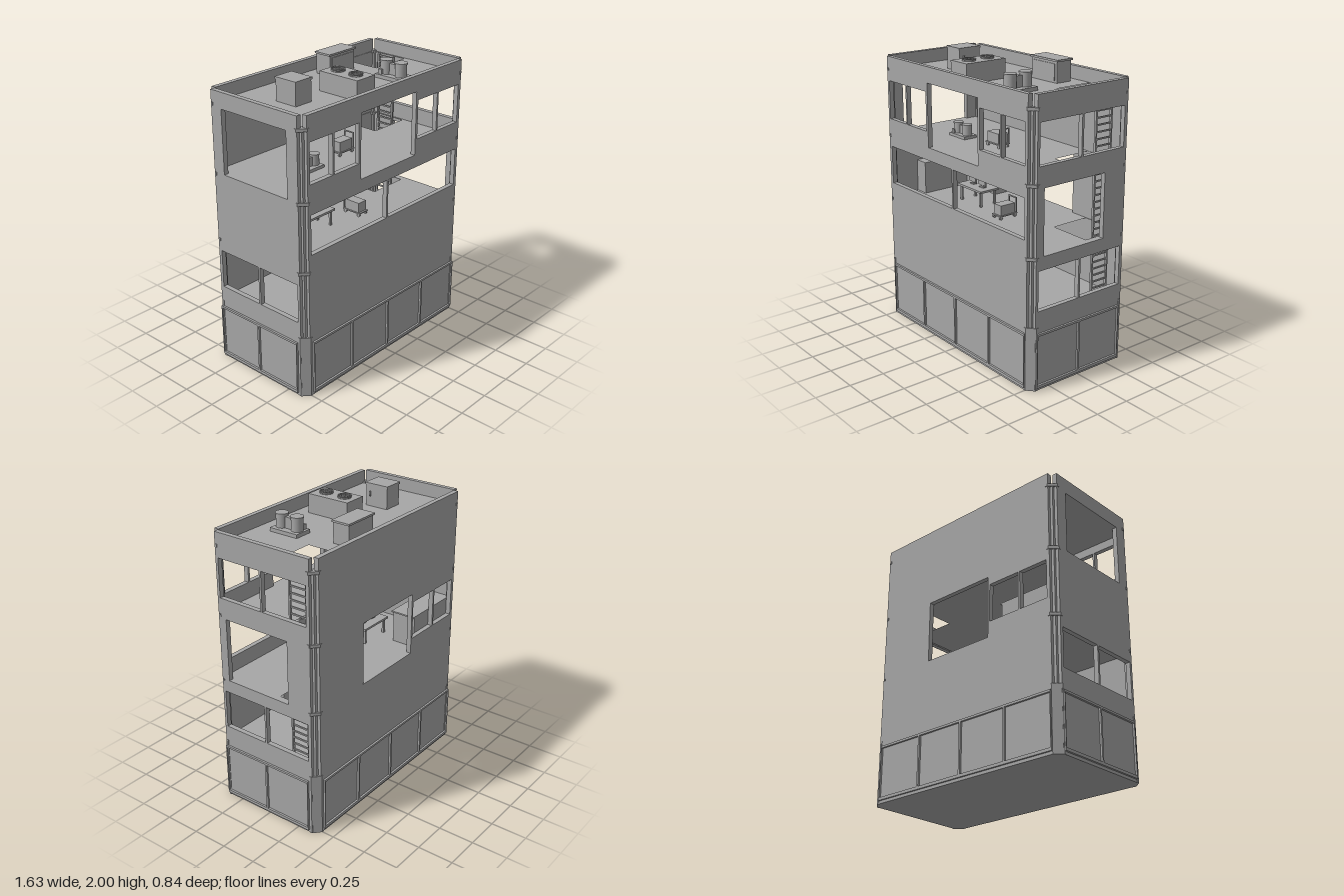
import * as THREE from 'three';

const grey = new THREE.MeshStandardMaterial({ color: 0xa6a6a6 });
grey.name = 'grey';

function add(parent, name, geometry) {
  const m = new THREE.Mesh(geometry, grey);
  m.name = name;
  parent.add(m);
  return m;
}

// Box given by its limits on each axis
function box(parent, name, x0, x1, y0, y1, z0, z1) {
  const g = new THREE.BoxGeometry(x1 - x0, y1 - y0, z1 - z0);
  g.translate((x0 + x1) / 2, (y0 + y1) / 2, (z0 + z1) / 2);
  return add(parent, name, g);
}

function cyl(parent, name, r, y0, y1, x, z, sides = 24) {
  const g = new THREE.CylinderGeometry(r, r, y1 - y0, sides);
  return add(parent, name, g.translate(x, (y0 + y1) / 2, z));
}

function rectPath(Type, x0, x1, y0, y1) {
  const p = new Type();
  p.moveTo(x0, y0).lineTo(x1, y0).lineTo(x1, y1).lineTo(x0, y1).closePath();
  return p;
}

// Upright plate with rectangular holes [x0, x1, y0, y1]
function plate(parent, name, limits, holes, z, depth) {
  const s = rectPath(THREE.Shape, ...limits);
  holes.forEach(h => s.holes.push(rectPath(THREE.Path, ...h)));
  const g = new THREE.ExtrudeGeometry(s, { depth, bevelEnabled: false });
  return add(parent, name, g.translate(0, 0, z));
}

// Horizontal slab or prism from plan points [x, z]
function prism(parent, name, points, y0, y1, holes = []) {
  const path = (Type, pts) => new Type(pts.map(([x, z]) => new THREE.Vector2(x, -z)));
  const s = path(THREE.Shape, points);
  holes.forEach(h => s.holes.push(path(THREE.Path, h)));
  const g = new THREE.ExtrudeGeometry(s, { depth: y1 - y0, bevelEnabled: false });
  return add(parent, name, g.rotateX(-Math.PI / 2).translate(0, y0, 0));
}

// One outer wall with openings and the framed panels at its foot
function wall(parent, name, angle, half, outer, openings, panels, shift) {
  const g = new THREE.Group();
  g.name = name;
  plate(g, name + 'Panel', [-half, half, 0.01, 1.93], openings, outer - 0.034, 0.034);
  const a = -half + 0.015 + shift, b = half - 0.015 + shift, w = (b - a) / panels;
  const holes = [];
  for (let i = 0; i < panels; i++) holes.push([a + i * w + 0.007, a + (i + 1) * w - 0.007, 0.04, 0.385]);
  plate(g, 'baseFrame', [a, b, 0.02, 0.4], holes, outer, 0.014);
  g.rotation.y = angle;
  parent.add(g);
}

function table(parent, x, z, floor, angle) {
  const g = new THREE.Group();
  g.name = 'deskWithScreens';
  box(g, 'deskTop', -0.135, 0.135, 0.105, 0.12, -0.08, 0.08);
  for (const sx of [-1, 1]) {
    for (const sz of [-1, 1]) box(g, 'deskLeg', sx * 0.11 - 0.008, sx * 0.11 + 0.008, 0, 0.105, sz * 0.06 - 0.008, sz * 0.06 + 0.008);
    const c = sx * 0.055;
    box(g, 'screenFoot', c - 0.022, c + 0.022, 0.12, 0.126, -0.015, 0.015);
    box(g, 'screenNeck', c - 0.008, c + 0.008, 0.12, 0.145, -0.005, 0.005);
    box(g, 'screen', c - 0.04, c + 0.04, 0.137, 0.19, 0, 0.01);
  }
  g.position.set(x, floor, z);
  g.rotation.y = angle;
  parent.add(g);
}

function cart(parent, x, z, floor, angle) {
  const g = new THREE.Group();
  g.name = 'cart';
  box(g, 'cartDeck', -0.075, 0.075, 0.022, 0.03, -0.045, 0.045);
  box(g, 'crate', -0.062, 0.058, 0.03, 0.1, -0.038, 0.038);
  for (const sx of [-1, 1]) for (const sz of [-1, 1]) {
    const w = new THREE.CylinderGeometry(0.012, 0.012, 0.012, 12).rotateX(Math.PI / 2);
    add(g, 'wheel', w.translate(sx * 0.06, 0.012, sz * 0.035));
  }
  for (const s of [-1, 1]) box(g, 'handlePost', 0.067, 0.074, 0.03, 0.135, s * 0.038 - 0.004, s * 0.038 + 0.004);
  box(g, 'handleBar', 0.067, 0.074, 0.128, 0.136, -0.042, 0.042);
  g.position.set(x, floor, z);
  g.rotation.y = angle;
  parent.add(g);
}

// Two tanks on a plinth, joined by a bridge
function tanks(parent, x, z, y, angle, s = 1) {
  const g = new THREE.Group();
  g.name = 'twinTanks';
  box(g, 'tankPlinth', -0.065, 0.065, 0, 0.025, -0.11, 0.11);
  for (const c of [-0.062, 0.062]) {
    cyl(g, 'tank', 0.04, 0.025, 0.11, 0, c);
    cyl(g, 'tankLid', 0.044, 0.11, 0.12, 0, c);
  }
  box(g, 'tankBridge', -0.015, 0.015, 0.025, 0.1, -0.05, 0.05);
  box(g, 'controlBox', -0.055, -0.025, 0.025, 0.06, -0.09, -0.06);
  g.position.set(x, y, z);
  g.rotation.y = angle;
  g.scale.setScalar(s);
  parent.add(g);
}

export function createModel() {
  const model = new THREE.Group();
  model.name = 'building';
  const H = Math.PI / 2, low = [0.55, 0.82], mid = [1.02, 1.29], high = [1.49, 1.76];

  // Outer walls
  wall(model, 'frontWall', 0, 0.756, 0.408, [
    [-0.73, -0.015, ...mid], [0, 0.73, ...mid],
    [-0.735, -0.535, ...high], [-0.52, -0.295, ...high], [0.29, 0.495, ...high], [0.51, 0.73, ...high],
    [-0.275, 0.27, 1.38, 1.82]], 4, 0.01);
  wall(model, 'rightWall', H, 0.37, 0.8, [
    [-0.35, -0.015, ...low], [0, 0.345, ...low],
    [-0.35, -0.015, ...high], [0, 0.345, ...high],
    [-0.31, 0.19, 0.91, 1.35]], 2, -0.01);
  wall(model, 'backWall', 2 * H, 0.756, 0.408, [
    [-0.31, 0.235, 0.91, 1.35], [0.25, 0.495, ...mid], [0.51, 0.73, ...mid]], 4, 0.01);
  wall(model, 'leftWall', -H, 0.37, 0.8, [
    [-0.345, 0, ...low], [0.015, 0.35, ...low],
    [-0.28, 0.28, 1.38, 1.82]], 2, -0.01);

  // Corner posts, chamfered feet and clips
  const corner = [[0.737, 0.36], [0.737, 0.412], [0.752, 0.412], [0.804, 0.366], [0.804, 0.35], [0.76, 0.35]];
  for (const sx of [-1, 1]) for (const sz of [-1, 1]) {
    const pts = corner.map(([x, z]) => [x * sx, z * sz]);
    prism(model, 'cornerFoot', pts, 0, 0.44);
    for (const y of [0.89, 1.36, 1.83]) prism(model, 'cornerClip', pts, y, y + 0.02);
    const x = 0.763 * sx, z = 0.373 * sz;
    box(model, 'cornerPost', x - 0.014, x + 0.014, 0.44, 1.85, z - 0.014, z + 0.014);
  }

  // Floors and roof, open where the ladder passes
  const plan = [[-0.8, -0.36], [-0.75, -0.41], [0.75, -0.41], [0.8, -0.36],
    [0.8, 0.36], [0.75, 0.41], [-0.75, 0.41], [-0.8, 0.36]];
  prism(model, 'groundSlab', plan, 0, 0.02);
  const inner = [[-0.768, -0.376], [0.768, -0.376], [0.768, 0.376], [-0.768, 0.376]];
  const hatch = [[0.45, -0.37], [0.752, -0.37], [0.752, -0.085], [0.45, -0.085]];
  prism(model, 'firstFloor', inner, 0.43, 0.45);
  for (const [n, y] of [['secondFloor', 0.91], ['thirdFloor', 1.38], ['roof', 1.84]]) {
    prism(model, n, inner, y - 0.02, y, [hatch]);
  }

  // Ladder
  for (const z of [-0.295, -0.165]) box(model, 'ladderRail', 0.722, 0.738, 0.45, 1.84, z - 0.006, z + 0.006);
  for (let y = 0.49; y < 1.83; y += 0.046) box(model, 'ladderRung', 0.725, 0.735, y, y + 0.01, -0.295, -0.165);

  // Furniture and goods
  table(model, -0.3, 0.04, 0.44, H);
  box(model, 'cabinet', -0.3, 0.3, 0.45, 0.66, 0.285, 0.37);
  box(model, 'cabinetTop', -0.305, 0.305, 0.66, 0.67, 0.28, 0.37);
  table(model, -0.28, -0.01, 0.91, 0);
  box(model, 'sideCounter', -0.766, -0.665, 0.91, 1.14, -0.373, 0.175);
  box(model, 'backCounter', -0.665, -0.325, 0.91, 1.13, -0.373, -0.2);
  box(model, 'counterTop', -0.665, -0.315, 1.13, 1.14, -0.373, -0.19);
  cart(model, 0.09, 0.047, 0.91, H);
  cart(model, -0.02, 0.02, 1.38, 0);
  tanks(model, -0.37, 0.05, 1.38, H, 0.8);

  // Roof equipment
  const r = 1.84;
  box(model, 'roofCabinet', -0.505, -0.365, r, 1.99, -0.095, 0.075);
  box(model, 'roofCabinetLid', -0.51, -0.36, 1.985, 2, -0.1, 0.08);
  box(model, 'doorHandle', -0.366, -0.355, 1.91, 1.945, 0.035, 0.045);
  box(model, 'fanUnit', -0.175, -0.005, r, 1.973, -0.035, 0.285);
  for (const z of [0.05, 0.2]) {
    for (const rad of [0.048, 0.033, 0.018]) {
      const ring = new THREE.TorusGeometry(rad - 0.004, 0.004, 6, 28).rotateX(H);
      add(model, 'fanRing', ring.translate(-0.09, 1.984, z));
    }
    cyl(model, 'fanCollar', 0.046, 1.97, 1.98, -0.09, z);
    cyl(model, 'fanHub', 0.008, 1.973, 1.99, -0.09, z, 12);
    for (let i = 0; i < 3; i++) {
      const blade = new THREE.BoxGeometry(0.088, 0.005, 0.006).rotateY(i * Math.PI / 3);
      add(model, 'fanSpoke', blade.translate(-0.09, 1.983, z));
    }
  }
  box(model, 'ventUnit', 0.09, 0.335, r, 1.98, -0.308, -0.187);
  box(model, 'ventUnitLid', 0.08, 0.345, 1.98, 1.993, -0.315, -0.18);
  box(model, 'ventDoor', 0.11, 0.315, 1.855, 1.965, -0.187, -0.182);
  tanks(model, 0.348, 0.15, r, 0);
  return model;
}
